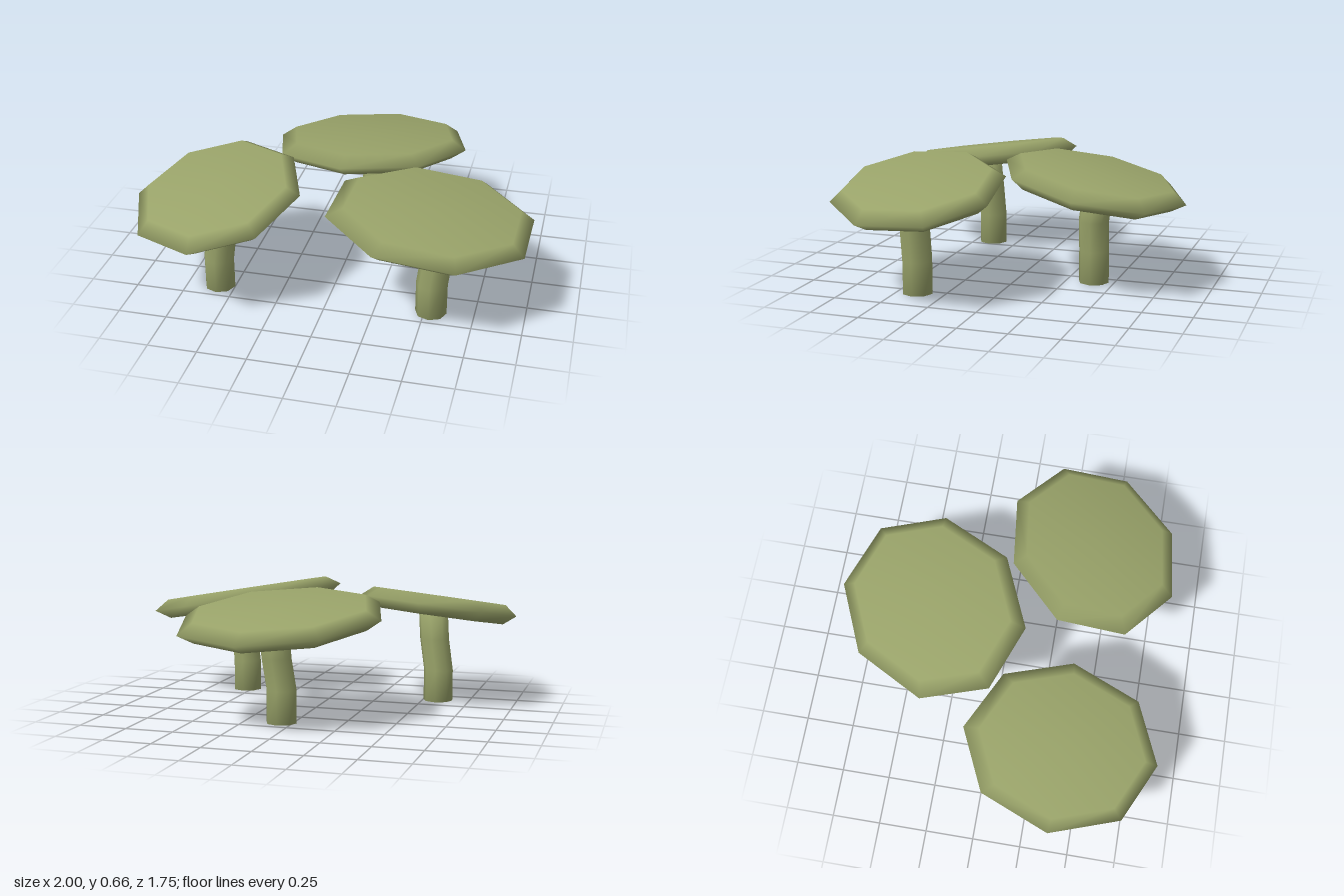
import * as THREE from 'three';

const material = new THREE.MeshStandardMaterial({ color: 0x9aa46a });

// Smooth closed skin over rings (bottom to top, each clockwise seen from above)
function loft(rings) {
  const n = rings[0].length;
  const positions = rings.flat().flatMap((p) => p.toArray());
  const index = [];
  for (let r = 0; r < rings.length - 1; r++) {
    for (let i = 0; i < n; i++) {
      const j = (i + 1) % n, lo = r * n, hi = lo + n;
      index.push(lo + j, lo + i, hi + i, lo + j, hi + i, hi + j);
    }
  }
  // Close both ends with a fan
  const bottom = rings.length * n, top = bottom + 1, last = bottom - n;
  for (const ring of [rings[0], rings[rings.length - 1]]) {
    const c = new THREE.Vector3();
    ring.forEach((p) => c.add(p));
    positions.push(...c.divideScalar(n).toArray());
  }
  for (let i = 0; i < n; i++) {
    const j = (i + 1) % n;
    index.push(bottom, i, j, top, last + j, last + i);
  }
  const geometry = new THREE.BufferGeometry();
  geometry.setAttribute('position', new THREE.Float32BufferAttribute(positions, 3));
  geometry.setIndex(index);
  geometry.computeVertexNormals();
  return geometry;
}

// Tilted eight-sided disc with a pointed rim
function capGeometry({ outline, center: [cx, cy, cz], slope: [sx, sz] }) {
  const normal = new THREE.Vector3(-sx, 1, -sz).normalize();
  const ring = (scale, h) => outline.map(([x, z]) => {
    const dx = (x - cx) * scale, dz = (z - cz) * scale;
    return new THREE.Vector3(cx + dx, cy + sx * dx + sz * dz, cz + dz).addScaledVector(normal, h);
  });
  return loft([ring(0.85, -0.052), ring(1, 0), ring(0.85, 0.052)]);
}

// Round stem that leans through its middle
function stemGeometry(path) {
  return loft(path.map(([x, y, z]) => Array.from({ length: 8 }, (_, i) => {
    const a = (i / 8) * Math.PI * 2;
    return new THREE.Vector3(x + 0.08 * Math.cos(a), y, z + 0.08 * Math.sin(a));
  })));
}

const mushrooms = [
  {
    name: 'rightMushroom',
    outline: [[-0.57, -0.11], [-0.27, 0.04], [-0.145, 0.38], [-0.27, 0.73],
      [-0.57, 0.87], [-0.87, 0.73], [-1, 0.38], [-0.87, 0.03]],
    center: [-0.57, 0.525, 0.38], slope: [0.105, -0.14],
    stem: [[-0.58, 0, 0.395], [-0.58, 0.17, 0.395], [-0.555, 0.34, 0.4], [-0.545, 0.48, 0.41]],
  },
  {
    name: 'backMushroom',
    outline: [[0.13, -0.88], [0.47, -0.75], [0.565, -0.41], [0.37, -0.05],
      [-0.01, 0.11], [-0.35, -0.02], [-0.445, -0.36], [-0.24, -0.72]],
    center: [0.06, 0.528, -0.385], slope: [0, 0.148],
    stem: [[0.06, 0, -0.392], [0.06, 0.17, -0.392], [0.085, 0.33, -0.395], [0.09, 0.48, -0.415]],
  },
  {
    name: 'leftMushroom',
    outline: [[0.34, -0.01], [0.73, -0.055], [0.995, 0.16], [0.985, 0.51],
      [0.7, 0.785], [0.31, 0.825], [0.04, 0.61], [0.055, 0.26]],
    center: [0.52, 0.53, 0.385], slope: [-0.175, -0.06],
    stem: [[0.532, 0, 0.395], [0.532, 0.17, 0.395], [0.553, 0.33, 0.395], [0.56, 0.48, 0.4]],
  },
];

export function createModel() {
  const model = new THREE.Group();
  model.name = 'mushroomCluster';
  for (const spec of mushrooms) {
    const group = new THREE.Group();
    group.name = spec.name;
    const cap = new THREE.Mesh(capGeometry(spec), material);
    cap.name = 'cap';
    const stem = new THREE.Mesh(stemGeometry(spec.stem), material);
    stem.name = 'stem';
    group.add(cap, stem);
    model.add(group);
  }
  return model;
}
